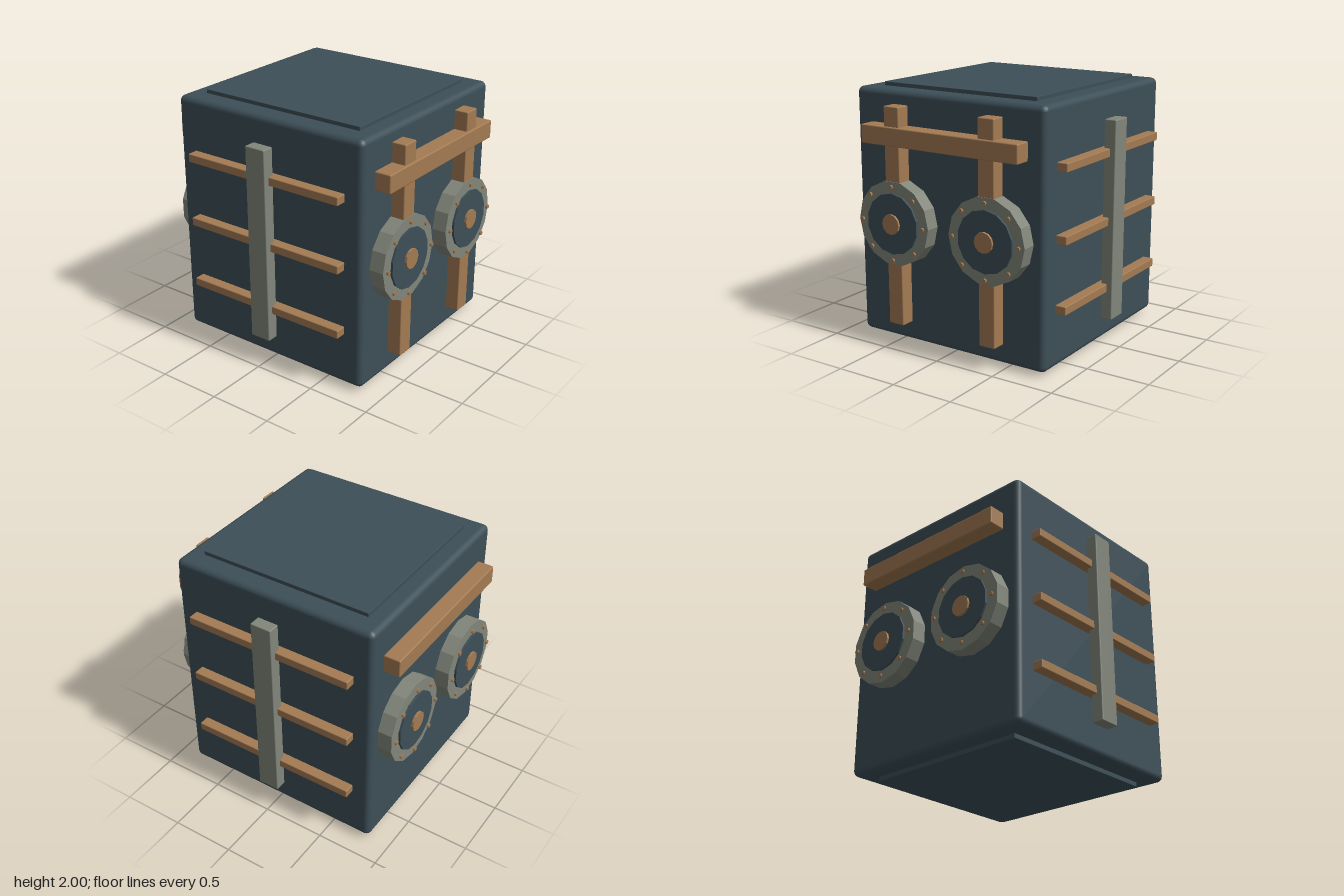
import * as THREE from 'three';
import { RoundedBoxGeometry } from 'three/addons/geometries/RoundedBoxGeometry.js';

export function createModel() {
  const model = new THREE.Group();
  model.name = 'armouredCrate';

  const material = (name, color, flatShading = false) => {
    const m = new THREE.MeshStandardMaterial({ color });
    m.name = name;
    m.flatShading = flatShading;
    return m;
  };
  const steel = material('darkSteel', 0x3d4f58);
  const copper = material('copper', 0xa37b53);
  const iron = material('greyIron', 0x82867a);

  // Softly bevelled block given by its lower and upper corners
  function block(name, mat, [x0, y0, z0], [x1, y1, z1], bevel) {
    const geo = new RoundedBoxGeometry(x1 - x0, y1 - y0, z1 - z0, 2, bevel);
    const mesh = new THREE.Mesh(geo, mat);
    mesh.name = name;
    mesh.position.set((x0 + x1) / 2, (y0 + y1) / 2, (z0 + z1) / 2);
    model.add(mesh);
  }

  // Faceted disc facing +z, between depths z0 and z1
  function disc(parent, name, mat, radius, sides, z0, z1, turn = 0, x = 0, y = 0) {
    const geo = new THREE.CylinderGeometry(radius, radius, z1 - z0, sides, 1, false, turn)
      .rotateX(Math.PI / 2).toNonIndexed();
    geo.computeVertexNormals();
    const mesh = new THREE.Mesh(geo, mat);
    mesh.name = name;
    mesh.position.set(x, y, (z0 + z1) / 2);
    parent.add(mesh);
  }

  // Bolted port: ring, inner plate, hub and eight bolts
  function port(name, x, radius, turn, back) {
    const group = new THREE.Group();
    group.name = name;
    disc(group, 'portRing', iron, radius, 14, 0.82, 0.955, turn);
    disc(group, 'portPlate', steel, 0.235, 14, 0.94, 0.972);
    disc(group, 'portHub', copper, 0.078, 12, 0.96, 0.99);
    for (let i = 0; i < 8; i++) {
      const a = (i * Math.PI) / 4;
      disc(group, 'portBolt', copper, 0.017, 8, 0.965, 0.981, 0,
        0.284 * Math.cos(a), 0.284 * Math.sin(a));
    }
    group.position.set(x, 0.985, 0);
    if (back) group.rotation.y = Math.PI;
    model.add(group);
  }

  // Body with raised top and bottom plates
  block('body', steel, [-0.84, 0.035, -0.84], [0.84, 1.97, 0.84], 0.045);
  block('topPlate', steel, [-0.68, 1.93, -0.7], [0.68, 2, 0.7], 0.003);
  block('bottomPlate', steel, [-0.68, 0, -0.7], [0.68, 0.08, 0.7], 0.003);

  // Crossbars on front and back
  block('frontCrossbar', copper, [-0.695, 1.572, 0.82], [0.695, 1.715, 0.968], 0.01);
  block('backCrossbar', copper, [-0.695, 1.572, -0.968], [0.695, 1.715, -0.82], 0.01);

  for (const s of [-1, 1]) {
    const side = s > 0 ? 'left' : 'right';
    const cx = s * 0.42;

    // Front posts and the ports on both faces
    block(side + 'FrontPost', copper, [cx - 0.068, 0.187, 0.82], [cx + 0.068, 1.865, 0.95], 0.008);
    port(side + 'FrontPort', cx, 0.327, Math.PI / 14, false);
    port(side + 'BackPort', cx, 0.335, 0, true);

    // Side rails crossed by an upright
    for (const y of [0.485, 1.005, 1.528]) {
      const [a, b] = [s * 0.82, s * 0.922].sort((p, q) => p - q);
      block(side + 'SideRail', copper, [a, y - 0.033, -0.69], [b, y + 0.033, 0.69], 0.007);
    }
    const [a, b] = [s * 0.872, s * 0.967].sort((p, q) => p - q);
    block(side + 'SideUpright', iron, [a, 0.237, -0.086], [b, 1.775, 0.086], 0.008);
  }

  return model;
}
